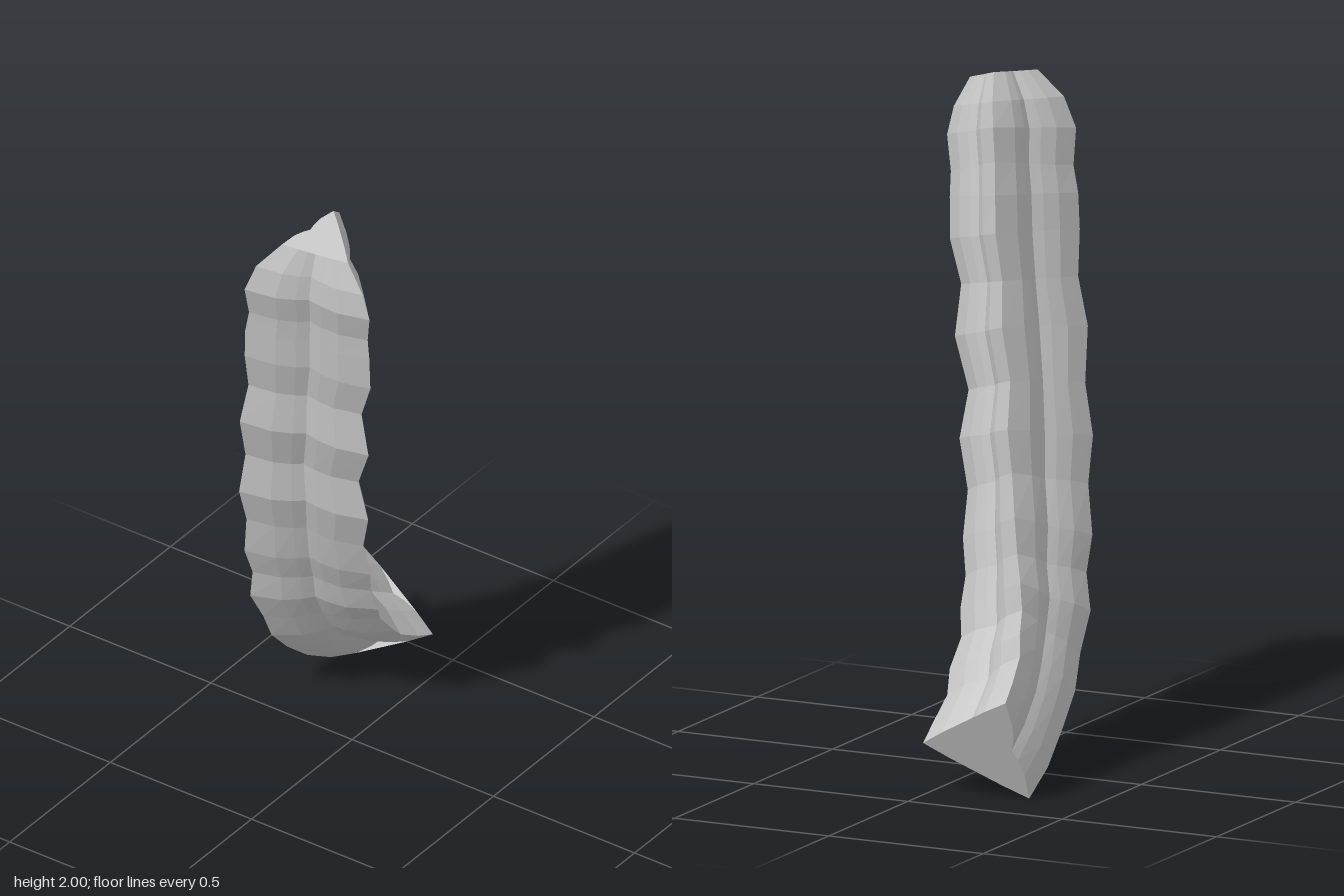
import * as THREE from 'three';

// Spine stations: x, y, z, radius (bulges alternate with pinches)
const STATIONS = [
  [-0.195, 0.15, -0.387, 0.2], [-0.19, 0.205, -0.30, 0.205], [-0.18, 0.275, -0.205, 0.2],
  [-0.165, 0.345, -0.145, 0.212], [-0.155, 0.425, -0.085, 0.2], [-0.14, 0.51, -0.04, 0.217],
  [-0.12, 0.60, -0.005, 0.202], [-0.10, 0.70, 0.035, 0.217], [-0.075, 0.83, 0.08, 0.203],
  [-0.047, 0.96, 0.118, 0.225], [-0.035, 1.10, 0.15, 0.197], [0.005, 1.25, 0.187, 0.225],
  [0.02, 1.39, 0.21, 0.198], [0.05, 1.52, 0.234, 0.22], [0.062, 1.63, 0.253, 0.217],
  [0.075, 1.71, 0.27, 0.207], [0.092, 1.81, 0.297, 0.218], [0.105, 1.89, 0.31, 0.187],
  [0.122, 1.97, 0.325, 0.115],
];
// One third of the three-lobed section: angle in degrees, relative radius
const LOBE = [[0, 1], [20, 0.68], [40, 0.5], [60, 0.41], [80, 0.5], [100, 0.68]];
const SIDES = LOBE.length * 3;

// Section ring square to the spine, turning slightly over the lower bend
function ring(i) {
  const at = (k) => new THREE.Vector3(...STATIONS[k].slice(0, 3));
  const last = STATIONS.length - 1;
  const centre = at(i);
  const radius = STATIONS[i][3];
  const t = i === 0
    ? new THREE.Vector3(0.04, 0.435, 0.9).normalize()
    : at(Math.min(i + 1, last)).sub(at(i - 1)).normalize();
  const u = new THREE.Vector3(1, 0, 0).addScaledVector(t, -t.x).normalize();
  const v = new THREE.Vector3().crossVectors(u, t);
  const twist = 13 * Math.min(1, i / 8);
  const points = [];
  for (let lobe = 0; lobe < 3; lobe++) {
    for (const [deg, r] of LOBE) {
      const a = THREE.MathUtils.degToRad(lobe * 120 + deg + twist);
      points.push(centre.clone()
        .addScaledVector(u, Math.cos(a) * r * radius)
        .addScaledVector(v, Math.sin(a) * r * radius));
    }
  }
  return { centre, points };
}

function facets(triangles) {
  const geometry = new THREE.BufferGeometry().setFromPoints(triangles);
  geometry.computeVertexNormals();
  return geometry;
}

// End face bridging two of the three grooves
function capGeometry({ centre, points }, up) {
  const rim = points.filter((_, j) => ![2, 3, 4, 14, 15, 16].includes(j));
  const tris = [];
  rim.forEach((p, j) => {
    const q = rim[(j + 1) % rim.length];
    tris.push(centre, ...(up ? [q, p] : [p, q]));
  });
  return facets(tris);
}

export function createModel() {
  const group = new THREE.Group();
  group.name = 'ribbedStalk';
  const grey = new THREE.MeshStandardMaterial({ color: 0xc8c8c8, flatShading: true, side: THREE.DoubleSide });
  grey.name = 'lightGrey';

  const rings = STATIONS.map((_, i) => ring(i));
  const add = (name, geometry) => {
    const mesh = new THREE.Mesh(geometry, grey);
    mesh.name = name;
    group.add(mesh);
  };

  // Grooved, rippled side wall
  const tris = [];
  for (let i = 0; i < rings.length - 1; i++) {
    for (let j = 0; j < SIDES; j++) {
      const k = (j + 1) % SIDES;
      const a = rings[i].points[j], b = rings[i].points[k];
      const c = rings[i + 1].points[j], d = rings[i + 1].points[k];
      tris.push(a, c, b, b, c, d);
    }
  }
  add('stalkWall', facets(tris));
  add('bottomCap', capGeometry(rings[0], false));
  add('topCap', capGeometry(rings[rings.length - 1], true));
  return group;
}
